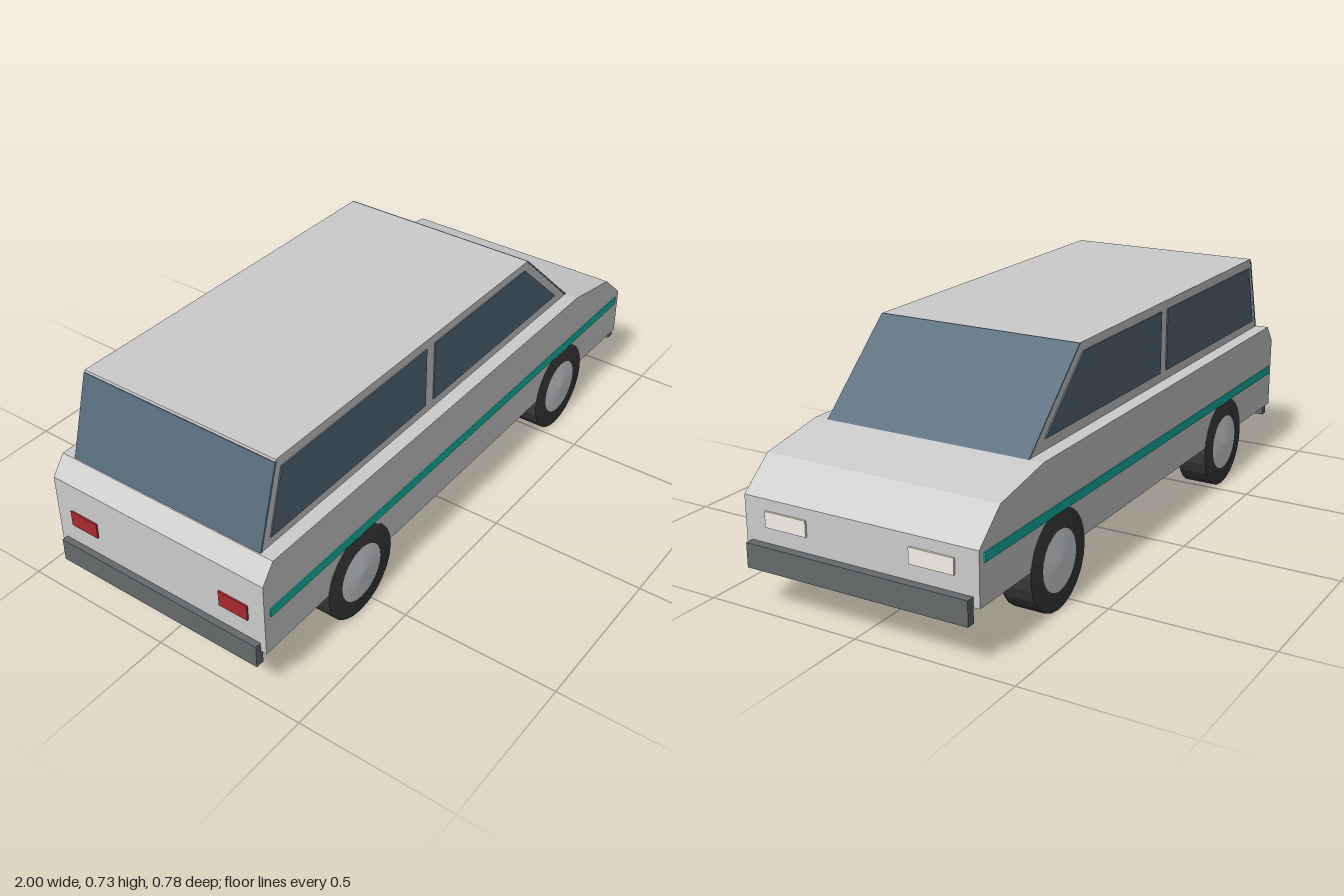
import * as THREE from 'three';

const mat = (color) => new THREE.MeshStandardMaterial({ color, flatShading: true });
const paint = mat(0xcccccc), glass = mat(0x566b7b), rubber = mat(0x3a3a3a), bumperGrey = mat(0x66696b);
const teal = mat(0x14b8a8), lampWhite = mat(0xf5f0e6), lampRed = mat(0xa82a2e);
const hubMetal = mat(0xd4d8dc);
hubMetal.side = THREE.DoubleSide;

export function createModel() {
  const car = new THREE.Group();
  car.name = 'stationWagon';

  const add = (name, geometry, material, parent = car) => {
    const mesh = new THREE.Mesh(geometry, material);
    mesh.name = name;
    parent.add(mesh);
    return mesh;
  };
  // Side profile in x/y, extruded between two z values
  const slab = (name, points, z0, z1, material) => {
    const shape = new THREE.Shape(points.map(([x, y]) => new THREE.Vector2(x, y)));
    const geometry = new THREE.ExtrudeGeometry(shape, { depth: z1 - z0, bevelEnabled: false });
    return add(name, geometry.translate(0, 0, z0), material);
  };
  // Box given by its limits
  const block = (name, x0, x1, y0, y1, z0, z1, material) => {
    const geometry = new THREE.BoxGeometry(x1 - x0, y1 - y0, z1 - z0);
    return add(name, geometry.translate((x0 + x1) / 2, (y0 + y1) / 2, (z0 + z1) / 2), material);
  };

  // Lower body and cabin
  slab('body', [[-0.98, 0.17], [0.973, 0.17], [0.973, 0.33], [0.87, 0.42], [0.655, 0.461],
    [-0.935, 0.468], [-0.98, 0.41]], -0.381, 0.381, paint);
  slab('cabin', [[-0.926, 0.46], [0.65, 0.46], [0.376, 0.716], [-0.853, 0.725]], -0.336, 0.336, paint);

  // Windscreen and tailgate glass over the sloping ends
  slab('windscreen', [[0.65, 0.461], [0.657, 0.461], [0.381, 0.716], [0.374, 0.716]], -0.337, 0.337, glass);
  slab('rearWindow', [[-0.931, 0.468], [-0.924, 0.468], [-0.85, 0.718], [-0.857, 0.718]], -0.337, 0.337, glass);

  // Parts repeated on both sides
  for (const [side, s] of [['near', 1], ['far', -1]]) {
    const span = (a, b) => (s > 0 ? [a, b] : [-b, -a]);
    slab(side + 'RearSideWindow', [[-0.89, 0.495], [-0.18, 0.495], [-0.18, 0.692], [-0.835, 0.695]],
      ...span(0.33, 0.34), glass);
    slab(side + 'FrontSideWindow', [[-0.138, 0.495], [0.575, 0.495], [0.362, 0.69], [-0.138, 0.692]],
      ...span(0.33, 0.34), glass);
    block(side + 'Stripe', -0.957, 0.95, 0.29, 0.318, ...span(0.375, 0.3845), teal);
    block(side + 'Headlight', 0.96, 0.979, 0.248, 0.296, ...span(0.168, 0.308), lampWhite);
    block(side + 'TailLight', -0.985, -0.97, 0.264, 0.315, ...span(0.225, 0.325), lampRed);
  }

  // Bumpers
  block('frontBumper', 0.973, 1, 0.126, 0.2, -0.362, 0.362, bumperGrey);
  block('rearBumper', -1, -0.973, 0.126, 0.2, -0.362, 0.362, bumperGrey);

  // Wheels: ring tyre, open on the inside, with a shallow conical hub cap
  const lathe = (points) => new THREE.LatheGeometry(points.map(([r, y]) => new THREE.Vector2(r, y)), 24)
    .rotateX(Math.PI / 2);
  const tyre = lathe([[0.092, -0.049], [0.15, -0.049], [0.15, 0.049], [0.092, 0.053], [0.092, -0.049]]);
  const hub = lathe([[0.092, 0.053], [0, 0.059]]);
  for (const [end, x] of [['rear', -0.56], ['front', 0.575]]) {
    for (const [side, s] of [['Near', 1], ['Far', -1]]) {
      const wheel = new THREE.Group();
      wheel.name = end + side + 'Wheel';
      add('tyre', tyre, rubber, wheel);
      add('hubCap', hub, hubMetal, wheel);
      wheel.position.set(x, 0.15, s * 0.333);
      if (s < 0) wheel.rotation.y = Math.PI;
      car.add(wheel);
    }
  }
  return car;
}
